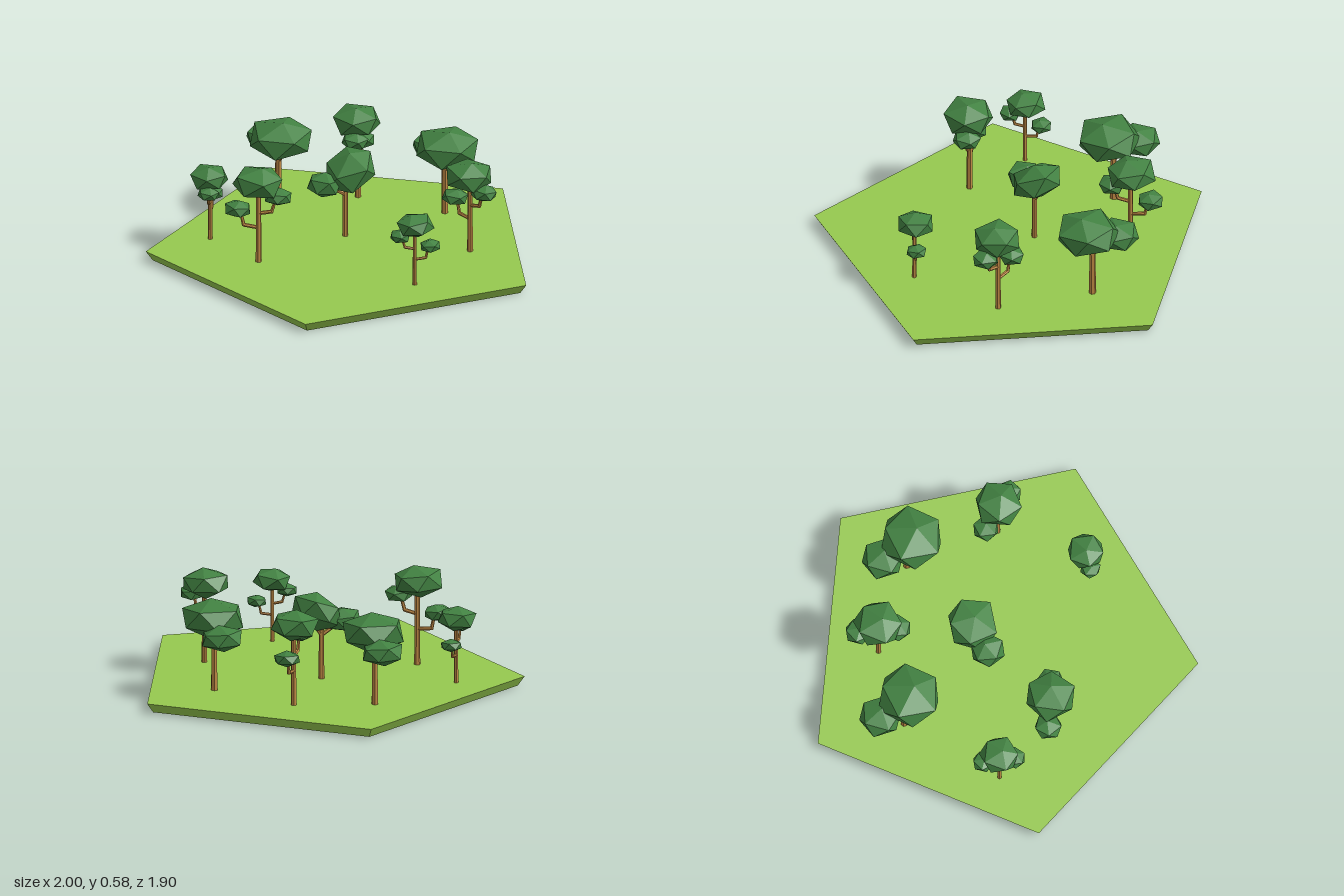
import * as THREE from 'three';

const material = (color) => new THREE.MeshStandardMaterial({ color, flatShading: true });
const grass = material(0x96c94f);
const bark = material(0xc18a45);
const leaves = material(0x428242);

function add(parent, name, geometry, mat) {
  const mesh = new THREE.Mesh(geometry, mat);
  mesh.name = name;
  parent.add(mesh);
  return mesh;
}

// Tapered six-sided limb between two points
function limb(parent, name, from, to, r0, r1) {
  const a = new THREE.Vector3(...from), b = new THREE.Vector3(...to);
  const dir = b.clone().sub(a);
  const mesh = add(parent, name, new THREE.CylinderGeometry(r1, r0, dir.length(), 6), bark);
  mesh.position.copy(a).add(b).multiplyScalar(0.5);
  mesh.quaternion.setFromUnitVectors(new THREE.Vector3(0, 1, 0), dir.normalize());
}

// Faceted, flattened clump of leaves, slightly irregular
function clump(parent, name, [x, y, z], radius, halfHeight, turn = 0, tilt = 0) {
  const geo = new THREE.IcosahedronGeometry(1, 0).rotateZ(0.45).rotateX(0.15);
  const p = geo.attributes.position;
  for (let i = 0; i < p.count; i++) {
    const k = 1 + 0.07 * Math.sin(p.getX(i) * 5 + p.getY(i) * 9 + p.getZ(i) * 7 + turn);
    p.setXYZ(i, p.getX(i) * k, p.getY(i) * k, p.getZ(i) * k);
  }
  geo.rotateY(turn).scale(radius, halfHeight, radius).rotateZ(tilt);
  geo.computeVertexNormals();
  add(parent, name, geo, leaves).position.set(x, y, z);
}

// Straight tree: top canopy and two small clumps on bent side branches
function tallTree() {
  const tree = new THREE.Group();
  limb(tree, 'trunk', [0, -0.005, 0], [0, 0.42, 0], 0.016, 0.013);
  limb(tree, 'lowerBranch', [0, 0.19, 0], [-0.08, 0.2, 0], 0.01, 0.01);
  limb(tree, 'lowerBranchTip', [-0.077, 0.195, 0], [-0.095, 0.28, 0], 0.01, 0.008);
  limb(tree, 'upperBranch', [0, 0.27, 0], [0.07, 0.285, 0], 0.01, 0.01);
  limb(tree, 'upperBranchTip', [0.067, 0.28, 0], [0.09, 0.36, 0], 0.01, 0.008);
  clump(tree, 'topCanopy', [0, 0.448, 0], 0.14, 0.085, 0.6);
  clump(tree, 'lowerClump', [-0.11, 0.288, 0], 0.078, 0.045, 1.4);
  clump(tree, 'upperClump', [0.105, 0.37, 0], 0.078, 0.046, 2.3);
  return tree;
}

// Forked tree: broad canopy beside a smaller, lower one
function forkedTree(tilt) {
  const tree = new THREE.Group();
  limb(tree, 'trunk', [0, -0.005, 0], [0, 0.29, 0], 0.018, 0.016);
  limb(tree, 'mainFork', [0, 0.24, 0], [0.075, 0.33, 0], 0.012, 0.01);
  limb(tree, 'sideFork', [0, 0.24, 0], [-0.11, 0.3, -0.03], 0.012, 0.01);
  limb(tree, 'centreFork', [0, 0.28, 0], [0.02, 0.37, 0], 0.014, 0.01);
  clump(tree, 'mainCanopy', [0.035, 0.38, 0], 0.178, 0.102, 0.3, tilt);
  clump(tree, 'sideCanopy', [-0.14, 0.318, -0.045], 0.118, 0.07, 1.1);
  return tree;
}

export function createModel() {
  const model = new THREE.Group();
  model.name = 'grove';

  // Five-sided lawn, narrower underneath
  const lawn = add(model, 'lawn', new THREE.CylinderGeometry(1.051, 1.015, 0.05, 5), grass);
  lawn.position.set(0, 0.025, 0.1);
  lawn.rotation.y = Math.PI;

  // x, z, turn, scale
  const tall = [
    [-0.415, -0.325, -0.9, 0.96],
    [0.48, -0.3, 0.1, 0.95],
    [0.61, 0.195, -2.19, 0.74],
    [-0.52, 0.595, -0.87, 0.77],
    [-0.14, 0.6, 0.67, 1],
  ];
  tall.forEach(([x, z, turn, s], i) => {
    const tree = tallTree();
    tree.name = `tallTree${i + 1}`;
    tree.position.set(x, 0.05, z);
    tree.rotation.y = turn;
    tree.scale.setScalar(s);
    model.add(tree);
  });

  // x, z, turn, width, height, canopy tilt
  const forked = [
    [0.03, -0.525, 0, 1, 1, 0],
    [-0.625, 0.035, 0, 1, 1, 0],
    [-0.09, 0.05, Math.PI / 2, 0.82, 0.97, 0.4],
  ];
  forked.forEach(([x, z, turn, w, h, tilt], i) => {
    const tree = forkedTree(tilt);
    tree.name = `forkedTree${i + 1}`;
    tree.position.set(x, 0.05, z);
    tree.rotation.y = turn;
    tree.scale.set(w, h, w);
    model.add(tree);
  });

  return model;
}
